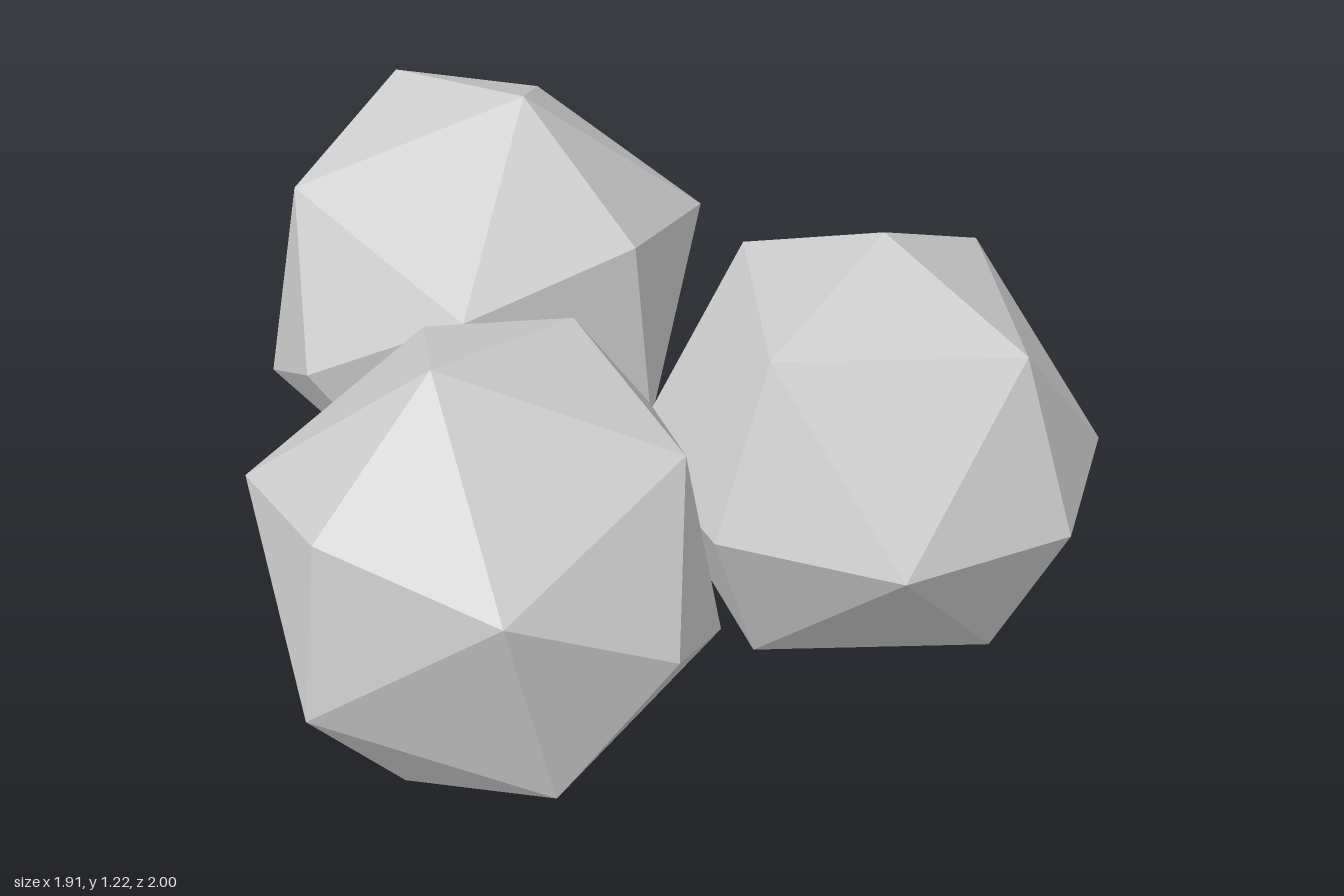
import * as THREE from 'three';

// Three overlapping low-poly boulders, each a once-divided octahedron.
export function createModel() {
  const group = new THREE.Group();
  const material = new THREE.MeshStandardMaterial({ color: 0xcccccc, flatShading: true });

  const addBoulder = (name, radius, position, rotation = [0, 0, 0]) => {
    const boulder = new THREE.Mesh(new THREE.OctahedronGeometry(radius, 1), material);
    boulder.name = name;
    boulder.position.set(...position);
    boulder.rotation.set(...rotation);
    group.add(boulder);
  };

  const tilt = Math.PI / 6;
  addBoulder('frontBoulder', 0.53, [0.425, 0.53, 0.467]);
  addBoulder('backBoulder', 0.553, [0.147, 0.69, -0.466], [-tilt, 0, 0]);
  addBoulder('rightBoulder', 0.522, [-0.455, 0.535, 0.148], [0, 0, -tilt]);

  return group;
}
